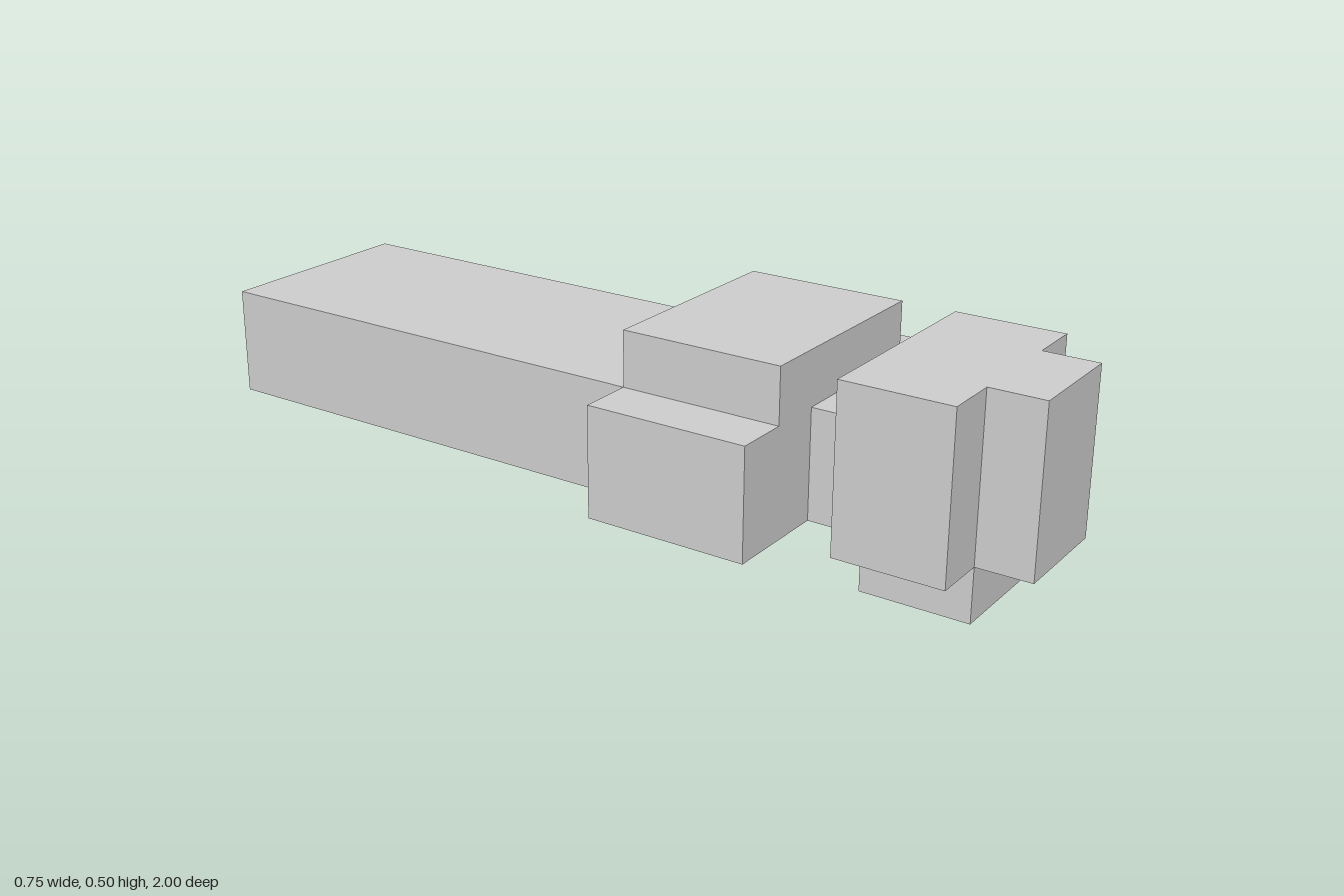
import * as THREE from 'three';

const U = 0.125; // block size that every part is a multiple of

export function createModel() {
  const model = new THREE.Group();
  const material = new THREE.MeshStandardMaterial({ color: 0xcccccc, flatShading: true });

  // Adds a box from its low and high corners, given in blocks
  function block(name, [x0, y0, z0], [x1, y1, z1]) {
    const geometry = new THREE.BoxGeometry((x1 - x0) * U, (y1 - y0) * U, (z1 - z0) * U);
    const mesh = new THREE.Mesh(geometry, material);
    mesh.position.set((x0 + x1) / 2, (y0 + y1) / 2, (z0 + z1) / 2).multiplyScalar(U);
    mesh.name = name;
    model.add(mesh);
  }

  // Long body with a raised block and one block on each side
  block('body', [-2, 1, -8], [2, 3, 4]);
  block('topBlock', [-2, 3, 1], [2, 4, 4]);
  block('leftSideBlock', [2, 1, 1], [3, 3, 4]);
  block('rightSideBlock', [-3, 1, 1], [-2, 3, 4]);

  // Narrow neck leading to the head
  block('neck', [-1, 1, 4], [1, 3, 5]);

  // Head with its front and lower projections
  block('head', [-2, 1, 5], [2, 4, 7]);
  block('headFront', [-1, 1, 7], [1, 4, 8]);
  block('headBase', [-1, 0, 5], [1, 1, 7]);

  return model;
}
